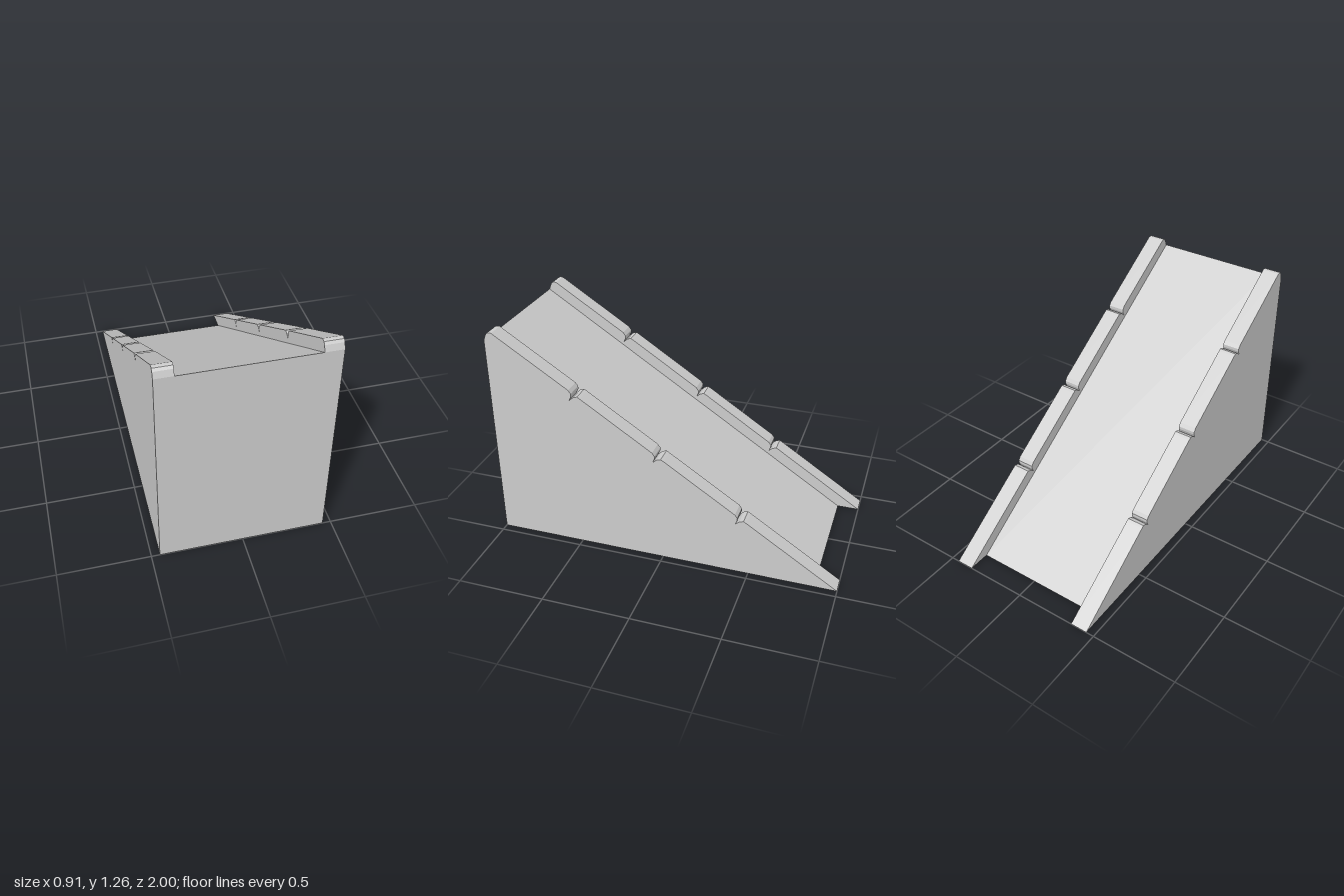
import * as THREE from 'three';

const SLOPE = 0.649;
const material = new THREE.MeshStandardMaterial({ color: 0xcccccc, flatShading: true });

// Extrudes a side profile of [z, y] points across x, centred on the given x.
function slab(name, profile, width, x) {
  const shape = new THREE.Shape(profile.map(([z, y]) => new THREE.Vector2(z, y)));
  const geometry = new THREE.ExtrudeGeometry(shape, { depth: width, bevelEnabled: false });
  geometry.translate(0, 0, -width / 2);
  geometry.rotateY(-Math.PI / 2);
  const mesh = new THREE.Mesh(geometry, material);
  mesh.name = name;
  mesh.position.x = x;
  return mesh;
}

// Side rail outline: a wedge with a rounded peak and three notches down its slope.
function railProfile() {
  const points = [[-1, 0], [1, 0], [1, 1.217], [0.988, 1.25], [0.977, 1.263], [0.966, 1.265], [0.953, 1.264]];
  // Notch corners, relative to its upper edge on the slope
  const notch = [[0, 0], [-0.014, -0.02], [-0.014, -0.036], [-0.003, -0.06],
    [-0.026, -0.04], [-0.038, -0.036], [-0.049, -0.033], [-0.064, -0.0415]];
  for (const z of [0.525, 0.055, -0.415]) {
    const y = (z + 1) * SLOPE;
    for (const [dz, dy] of notch) points.push([z + dz, y + dy]);
  }
  return points;
}

export function createModel() {
  const group = new THREE.Group();
  group.name = 'ramp';

  // Solid sloping body between the rails
  group.add(slab('rampBody', [[-0.875, 0], [1, 0], [1, 1.217]], 0.708, 0));

  // Notched rails on both sides
  const profile = railProfile();
  for (const [name, side] of [['leftRail', 1], ['rightRail', -1]]) {
    group.add(slab(name, profile, 0.1, side * 0.404));
  }
  return group;
}
